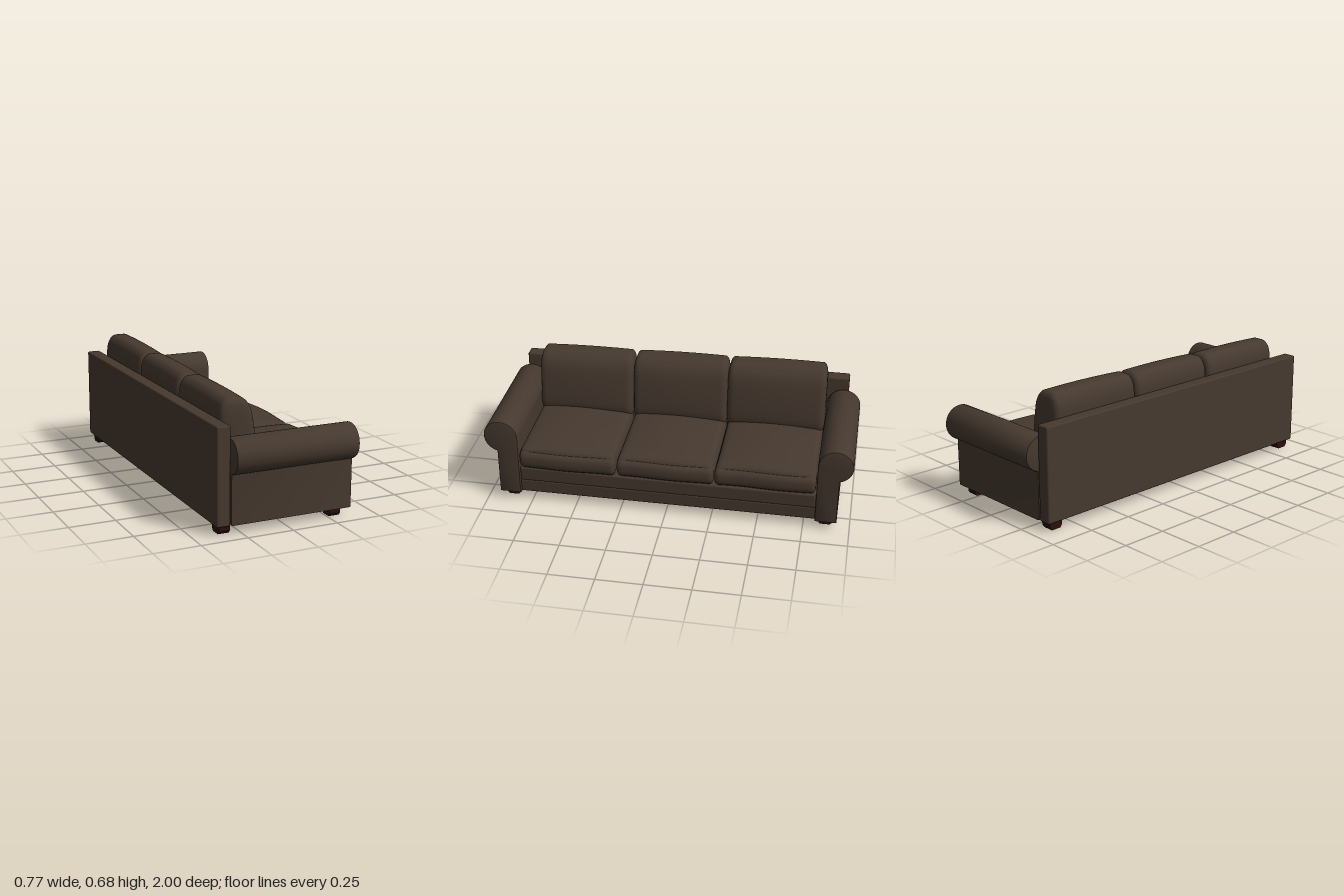
import * as THREE from 'three';
import { mergeVertices, toCreasedNormals } from 'three/addons/utils/BufferGeometryUtils.js';
import { RoundedBoxGeometry } from 'three/addons/geometries/RoundedBoxGeometry.js';

export function createModel() {
  const leather = new THREE.MeshStandardMaterial({ color: 0x46392f });
  leather.name = 'brownLeather';
  const wood = new THREE.MeshStandardMaterial({ color: 0x2c0e10 });
  wood.name = 'darkRedWood';

  const sofa = new THREE.Group();
  sofa.name = 'sofa';

  const add = (name, geometry, material = leather) => {
    const mesh = new THREE.Mesh(geometry, material);
    mesh.name = name;
    sofa.add(mesh);
    return mesh;
  };

  // Box with slightly softened edges, given by its limits
  const block = (name, [x0, x1], [y0, y1], [z0, z1], r) =>
    add(name, new RoundedBoxGeometry(x1 - x0, y1 - y0, z1 - z0, 2, r))
      .position.set((x0 + x1) / 2, (y0 + y1) / 2, (z0 + z1) / 2);

  // Soft cushion: a dense box with elliptical edges, then shaped by a rule.
  // The rule receives the point and its relative position (-1..1) on each axis.
  const cushion = (name, min, max, radius, rule) => {
    let g = new THREE.BoxGeometry(2, 2, 2, 18, 18, 22);
    g.deleteAttribute('uv');
    g.deleteAttribute('normal');
    g = mergeVertices(g);
    const p = g.attributes.position;
    const q = new THREE.Vector3();
    for (let i = 0; i < p.count; i++) {
      const rel = [p.getX(i), p.getY(i), p.getZ(i)].map((u) => Math.sin(u * Math.PI / 2));
      const inner = [], off = [];
      for (let a = 0; a < 3; a++) {
        const half = (max[a] - min[a]) / 2, lim = half - radius[a];
        const v = rel[a] * half;
        inner[a] = Math.max(-lim, Math.min(lim, v));
        off[a] = (v - inner[a]) / radius[a];
      }
      const big = Math.max(...off.map(Math.abs));
      const len = Math.hypot(...off);
      const k = len > 0 ? big / len : 0;
      const c = inner.map((v, a) => (min[a] + max[a]) / 2 + v + off[a] * k * radius[a]);
      q.fromArray(c);
      rule(q, rel);
      p.setXYZ(i, q.x, q.y, q.z);
    }
    g.computeVertexNormals();
    return add(name, g);
  };

  // Extrudes a (z, y) outline along x
  const alongX = (shape, x0, x1, bevel) => {
    const g = new THREE.ExtrudeGeometry(shape, {
      depth: x1 - x0 - 2 * bevel, bevelEnabled: bevel > 0, bevelSize: bevel,
      bevelThickness: bevel, bevelOffset: -bevel, bevelSegments: 2, curveSegments: 28,
    });
    g.rotateY(Math.PI / 2);
    g.translate(x0 + bevel, 0, 0);
    return toCreasedNormals(g, 0.6);
  };

  // Back panel and the two stacked base rails
  block('backPanel', [-0.385, -0.312], [0.045, 0.556], [-0.93, 0.93], 0.008);
  block('lowerBase', [-0.312, 0.352], [0.048, 0.122], [-0.814, 0.814], 0.008);
  block('upperBase', [-0.312, 0.355], [0.12, 0.205], [-0.814, 0.814], 0.012);

  // Rolled arms
  for (const s of [1, -1]) {
    const arm = new THREE.Shape();
    const cz = 0.906, cy = 0.397, r = 0.094, end = -1.31;
    arm.moveTo(s * 0.93, 0.045);
    arm.lineTo(s * 0.812, 0.045);
    arm.lineTo(s * 0.812, cy);
    for (let i = 1; i <= 36; i++) {
      const a = Math.PI + (end - Math.PI) * i / 36;
      arm.lineTo(s * (cz + r * Math.cos(a)), cy + r * Math.sin(a));
    }
    arm.closePath();
    add(s > 0 ? 'leftArm' : 'rightArm', alongX(arm, -0.308, 0.37, 0.008));
  }

  // Seat and back cushions, three of each
  const bays = [
    { z: [0.277, 0.81], front: 0.372 },
    { z: [-0.26, 0.27], front: 0.366 },
    { z: [-0.808, -0.264], front: 0.362 },
  ];
  bays.forEach(({ z: [z0, z1], front }, n) => {
    cushion(`seatCushion${n + 1}`, [-0.2, 0.2, z0], [front, 0.325, z1], [0.035, 0.045, 0.025], (p, [rx, ry, rz]) => {
      const cx = 1 - rx * rx, cy = 1 - ry * ry, cz = 1 - rz * rz;
      // Puffed top and front with a little sag
      if (ry > 0) p.y += ry * (0.03 * Math.sqrt(cx * cz) + 0.004 * Math.sin(p.z * 13 + n) * cx);
      if (rx > 0) p.x += rx * (0.013 * cy + 0.004 * Math.sin(p.z * 14 + n * 2));
    });
    cushion(`backCushion${n + 1}`, [-0.312, 0.28, z0 - 0.004], [-0.1, 0.655, z1 + 0.004], [0.075, 0.09, 0.025], (p, [rx, ry, rz]) => {
      const t = Math.max(0, (p.y - 0.28) / 0.38);
      const f = (p.x + 0.312) / 0.212;
      // Front face leans back, top rises gently towards one end
      p.x -= f * 0.05 * Math.pow(t, 1.6);
      p.x += 0.012 * Math.max(0, rx) * (1 - rz * rz) * (1 - ry * ry);
      p.y += t * (0.01 - 0.014 * p.z + 0.006 * (1 - rz * rz));
    });
  });

  // Feet with chamfered lower edges
  const foot = new THREE.Shape([[-0.04, 0.05], [-0.04, 0.016], [-0.027, 0], [0.027, 0], [0.04, 0.016], [0.04, 0.05]]
    .map(([a, b]) => new THREE.Vector2(a, b)));
  for (const [end, x] of [['back', -0.365], ['front', 0.259]]) {
    for (const s of [1, -1]) {
      const mesh = add(`${end}${s > 0 ? 'Left' : 'Right'}Foot`, alongX(foot, x, x + 0.06, 0), wood);
      mesh.position.z = s * 0.868;
    }
  }
  return sofa;
}
